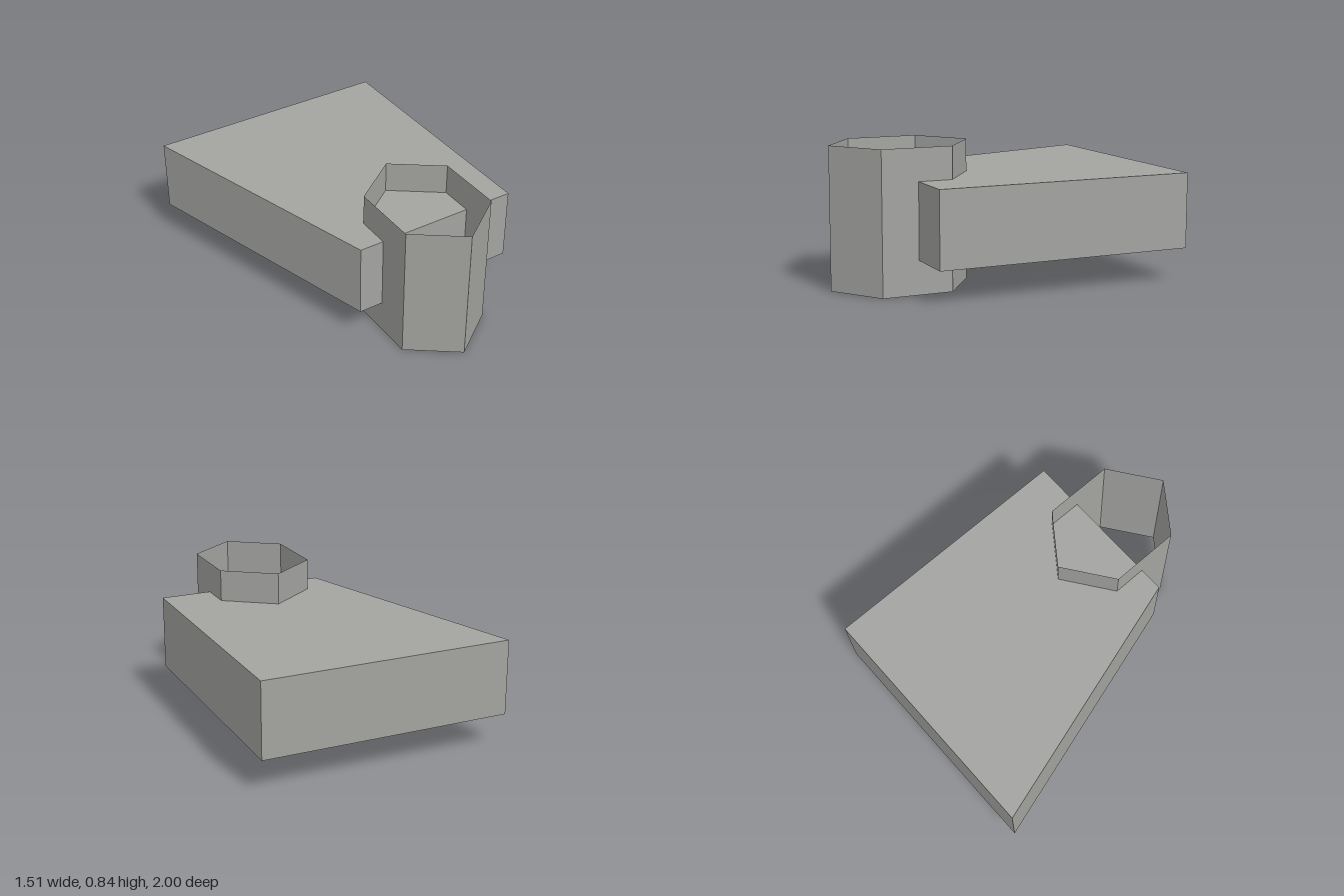
import * as THREE from 'three';

export function createModel() {
  const model = new THREE.Group();
  const grey = new THREE.MeshStandardMaterial({ color: 0xa3a3a0, flatShading: true, side: THREE.DoubleSide });
  grey.name = 'warm grey';

  // Slab with one slanted side, drawn in plan (shape y = -z) and raised upward
  const plan = new THREE.Shape([
    new THREE.Vector2(-0.755, 1),
    new THREE.Vector2(-0.288, -0.57),
    new THREE.Vector2(0.755, -0.57),
    new THREE.Vector2(0.755, 1),
  ]);
  const slabGeometry = new THREE.ExtrudeGeometry(plan, { depth: 0.45, bevelEnabled: false });
  slabGeometry.rotateX(-Math.PI / 2);
  const slab = new THREE.Mesh(slabGeometry, grey);
  slab.name = 'slantedSlab';
  slab.position.y = 0.2;
  model.add(slab);

  // Open, thin-walled hexagonal tube, narrowed across x, with a corner facing front
  const tubeGeometry = new THREE.CylinderGeometry(0.423, 0.423, 0.842, 6, 1, true);
  tubeGeometry.scale(0.797, 1, 1);
  const tube = new THREE.Mesh(tubeGeometry, grey);
  tube.name = 'hexagonalTube';
  tube.position.set(0.154, 0.421, 0.577);
  model.add(tube);

  return model;
}
